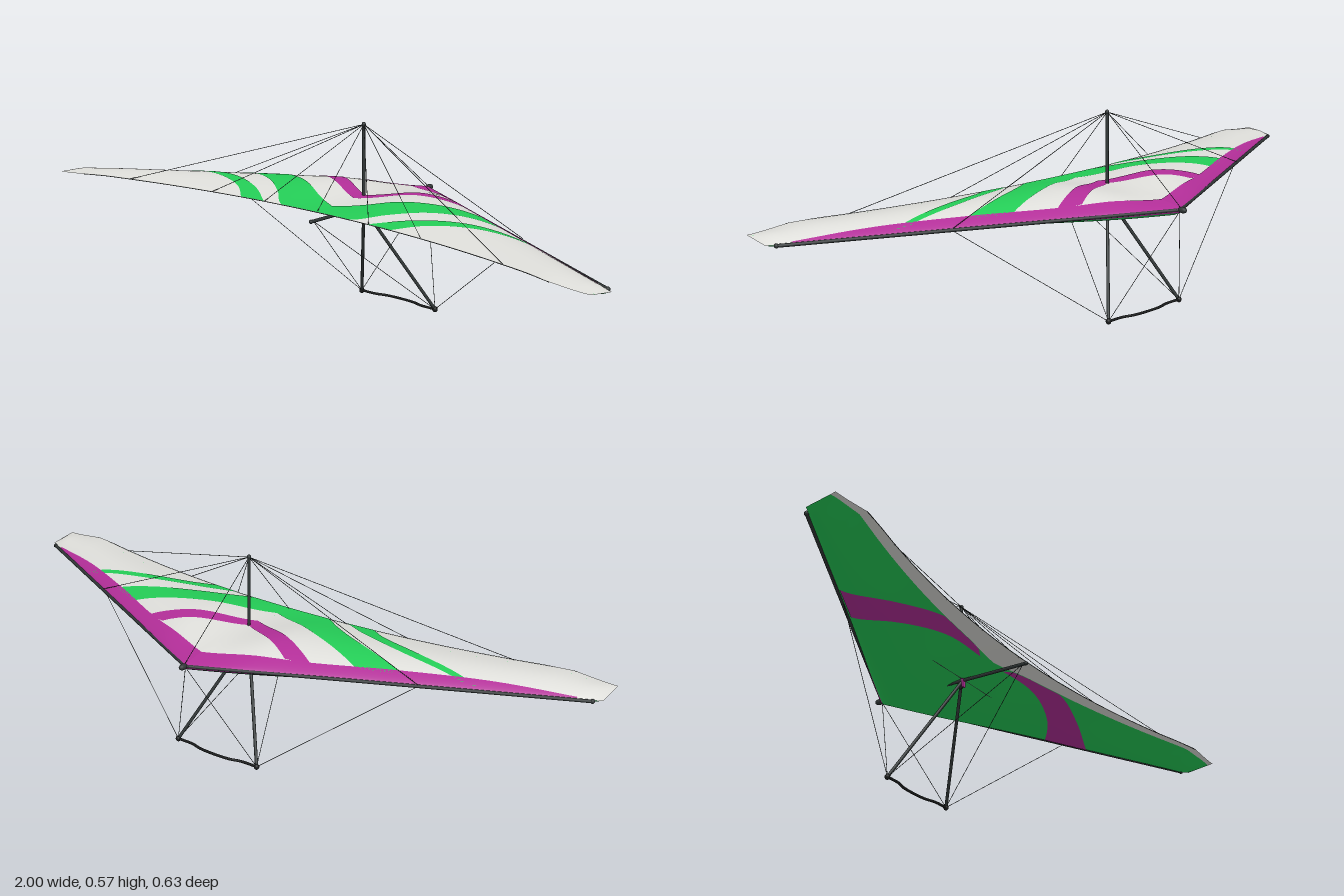
import * as THREE from 'three';

const V = (x, y, z) => new THREE.Vector3(x, y, z);
const { clamp, smoothstep } = THREE.MathUtils;
const mat = (name, color, side = THREE.FrontSide) => {
  const m = new THREE.MeshStandardMaterial({ color, side });
  m.name = name;
  return m;
};

// Sail plan and section, all symmetric in x
const LOWER_END = 0.82; // chord fraction where the lower skin meets the upper
const leadZ = x => -0.295 + 0.52 * Math.abs(x);
const trailZ = x => Math.min(0.313, 0.195 + 0.155 * x * x);
const chordAt = (x, z) => clamp((z - leadZ(x)) / (trailZ(x) - leadZ(x)), 0, 1);
const tipFade = x => Math.sqrt(clamp((1 - Math.abs(x)) / 0.04, 0, 1));
const leadY = x => 0.334 - 0.011 * Math.abs(x);
const trailY = x => 0.346 - 0.011 * smoothstep(Math.abs(x), 0.82, 1);
const topY = (x, c) => {
  const a = Math.abs(x);
  const camber = (0.02 + 0.02 * smoothstep(a, 0, 0.17)) * (1 - 0.72 * Math.max(0, (a - 0.2) / 0.8));
  return leadY(x) + (trailY(x) - leadY(x)) * c + camber * tipFade(x) * Math.sin(Math.PI * Math.pow(c, 0.8));
};
const bottomY = (x, c) => {
  const t = c / LOWER_END;
  const billow = 0.013 + 0.021 * (1 - smoothstep(Math.abs(x), 0.08, 0.5));
  return leadY(x) + (topY(x, LOWER_END) - leadY(x)) * t
    - billow * tipFade(x) * Math.sin(Math.PI * Math.pow(t, 0.56));
};

// Grid surface from a rule (u, v) -> point
function surface(nu, nv, rule, flip) {
  const pos = [], idx = [];
  for (let i = 0; i <= nu; i++)
    for (let j = 0; j <= nv; j++) pos.push(...rule(i / nu, j / nv));
  for (let i = 0; i < nu; i++)
    for (let j = 0; j < nv; j++) {
      const a = i * (nv + 1) + j, b = a + 1, c = a + nv + 1, d = c + 1;
      if (flip) idx.push(a, c, b, b, c, d);
      else idx.push(a, b, c, b, d, c);
    }
  const g = new THREE.BufferGeometry();
  g.setAttribute('position', new THREE.Float32BufferAttribute(pos, 3));
  g.setIndex(idx);
  g.computeVertexNormals();
  return g;
}

export function createModel() {
  const group = new THREE.Group();
  const white = mat('sailWhite', 0xdededa, THREE.DoubleSide);
  const green = mat('sailGreen', 0x24cc56, THREE.DoubleSide);
  const magenta = mat('sailMagenta', 0xb22e98, THREE.DoubleSide);
  const frame = mat('frameGrey', 0x303636);
  const black = mat('fittingBlack', 0x1a1c1c);

  const add = (name, geo, material) => {
    const m = new THREE.Mesh(geo, material);
    m.name = name;
    group.add(m);
    return m;
  };
  const rod = (name, a, b, r, material = frame, sides = 10) => {
    const m = add(name, new THREE.CylinderGeometry(r, r, a.distanceTo(b), sides), material);
    m.position.copy(a).lerp(b, 0.5);
    m.quaternion.setFromUnitVectors(V(0, 1, 0), b.clone().sub(a).normalize());
  };
  const cable = (name, a, b) => rod(name, a, b, 0.0009, frame, 5);
  const ball = (name, p, r, sx = 1, sy = 1, sz = 1, material = frame) => {
    const m = add(name, new THREE.SphereGeometry(r, 14, 10), material);
    m.position.copy(p);
    m.scale.set(sx, sy, sz);
  };

  // Sail skins: the rear strip is a single layer, white on both sides
  const skin = (name, height, c1, nv, material, flip) =>
    add(name, surface(140, nv, (u, v) => {
      const x = 2 * u - 1, c = c1 * v * (0.4 + 0.6 * v); // rows gather at the leading edge
      return [x, height(x, c), leadZ(x) + (trailZ(x) - leadZ(x)) * c];
    }, flip), material);
  skin('upperSail', topY, 1, 48, white, false);
  skin('lowerSail', bottomY, LOWER_END, 44, green, true);

  // Painted bands between two plan curves, laid just off the skin
  const band = (name, edgeA, edgeB, material, lower = false) => {
    const curve = pts => new THREE.CatmullRomCurve3(pts.map(([x, z]) => V(x, 0, z)));
    const A = curve(edgeA), B = curve(edgeB);
    for (const s of [-1, 1]) {
      const geo = surface(64, 14, (u, v) => {
        const p = A.getPoint(u).lerp(B.getPoint(u), v);
        const c = Math.min(chordAt(p.x, p.z), lower ? LOWER_END : 1);
        const y = lower ? bottomY(p.x, c) - 0.0015 : topY(p.x, c) + 0.0015;
        return [s * p.x, y, leadZ(p.x) + (trailZ(p.x) - leadZ(p.x)) * c];
      }, (s < 0) !== lower);
      add(name, geo, material);
    }
  };
  const leadPts = [0, 0.25, 0.5, 0.72, 0.94];
  const widths = [0.075, 0.045, 0.042, 0.032, 0.004];
  const leadEdge = leadPts.map(x => [x, leadZ(x)]);
  band('leadingEdgeBand', leadEdge, leadPts.map((x, i) => [x, leadZ(x) + widths[i]]), magenta);
  band('leadingEdgeWrap', leadEdge, leadPts.map((x, i) => [x, leadZ(x) + 0.08 * widths[i]]), magenta, true);
  band('noseChevron', [[0, -0.008], [0.22, -0.13]], [[0, 0.038], [0.15, -0.036], [0.295, -0.108]], magenta);
  band('wideGreenBand', [[0, 0.13], [0.1, 0.082], [0.2, 0.028], [0.3, -0.014], [0.4, -0.05]],
    [[0, 0.197], [0.13, 0.198], [0.21, 0.135], [0.3, 0.075], [0.41, 0.03], [0.52, 0.004]], green);
  band('narrowGreenBand', [[0.2, 0.202], [0.3, 0.138], [0.46, 0.083], [0.68, 0.068]],
    [[0.285, 0.21], [0.36, 0.153], [0.5, 0.106], [0.7, 0.08]], green);
  band('lowerBand', [[0.06, 0.1], [0.25, 0.095], [0.4, 0.045], [0.5, -0.025]],
    [[0.1, 0.12], [0.3, 0.147], [0.48, 0.105], [0.64, 0.045]], magenta, true);

  // Dark cord along the trailing hem
  const hem = [];
  for (let x = -0.88; x < 0.89; x += 0.08) hem.push(V(x, trailY(x), trailZ(x)));
  add('trailingCord', new THREE.TubeGeometry(new THREE.CatmullRomCurve3(hem), 66, 0.001, 5), frame);

  // Airframe
  const nose = V(0, 0.333, -0.3), tail = V(0, 0.322, 0.215);
  const mastTop = V(0, 0.567, -0.005), apex = V(0, 0.32, -0.005);
  rod('keel', V(0, 0.329, -0.3), tail, 0.005);
  ball('keelEnd', tail, 0.006);
  ball('nosePlate', nose, 0.01, 0.9, 0.9, 1.5);
  rod('kingpost', V(0, 0.325, -0.005), mastTop, 0.0048);
  ball('kingpostCap', mastTop, 0.006, 1, 1.2, 1);

  // Control frame, with a base bar bowed forward
  const corner = s => V(s * 0.145, 0.011, -0.157);
  const bar = new THREE.CatmullRomCurve3([corner(-1), V(-0.09, 0.011, -0.158), V(-0.05, 0.011, -0.168),
    V(0.05, 0.011, -0.168), V(0.09, 0.011, -0.158), corner(1)]);
  add('baseBar', new THREE.TubeGeometry(bar, 32, 0.004, 8), black);

  for (const s of [-1, 1]) {
    // Tube lies in the sail pocket and emerges toward the tip
    const tubeEnd = V(s * 0.978, 0.322, 0.209);
    rod('leadingEdgeTube', V(0, 0.332, -0.291), tubeEnd, 0.005);
    ball('leadingEdgeEnd', tubeEnd, 0.0065);
    rod('crossbar', V(0, 0.334, -0.003), V(s * 0.55, 0.33, -0.002), 0.004);
    rod('upright', apex, corner(s), 0.0048);
    ball('cornerBracket', corner(s), 0.008, 1, 1.1, 1, black);

    // Rigging
    cable('lowerSideWire', corner(s), V(s * 0.57, 0.326, 0.004));
    cable('lowerFrontWire', corner(s), V(0, 0.328, -0.29));
    cable('lowerRearWire', corner(s), V(0, 0.322, 0.205));
    cable('upperSideWire', mastTop, V(s * 0.57, 0.332, -0.003));
    for (const x of [0.2, 0.4, 0.71])
      cable('reflexWire', mastTop, V(s * x, topY(x, 0.99), trailZ(x) - 0.003));
  }
  cable('upperFrontWire', mastTop, nose);
  cable('upperRearWire', mastTop, V(0, 0.346, 0.19));

  // Hang strap and ring at the apex
  const strap = add('hangStrap', new THREE.BoxGeometry(0.012, 0.026, 0.005), magenta);
  strap.position.set(0, 0.316, 0.002);
  const ring = add('hangRing', new THREE.TorusGeometry(0.007, 0.0015, 8, 16), frame);
  ring.position.set(0, 0.307, -0.006);
  ring.rotation.y = Math.PI / 2;
  return group;
}
